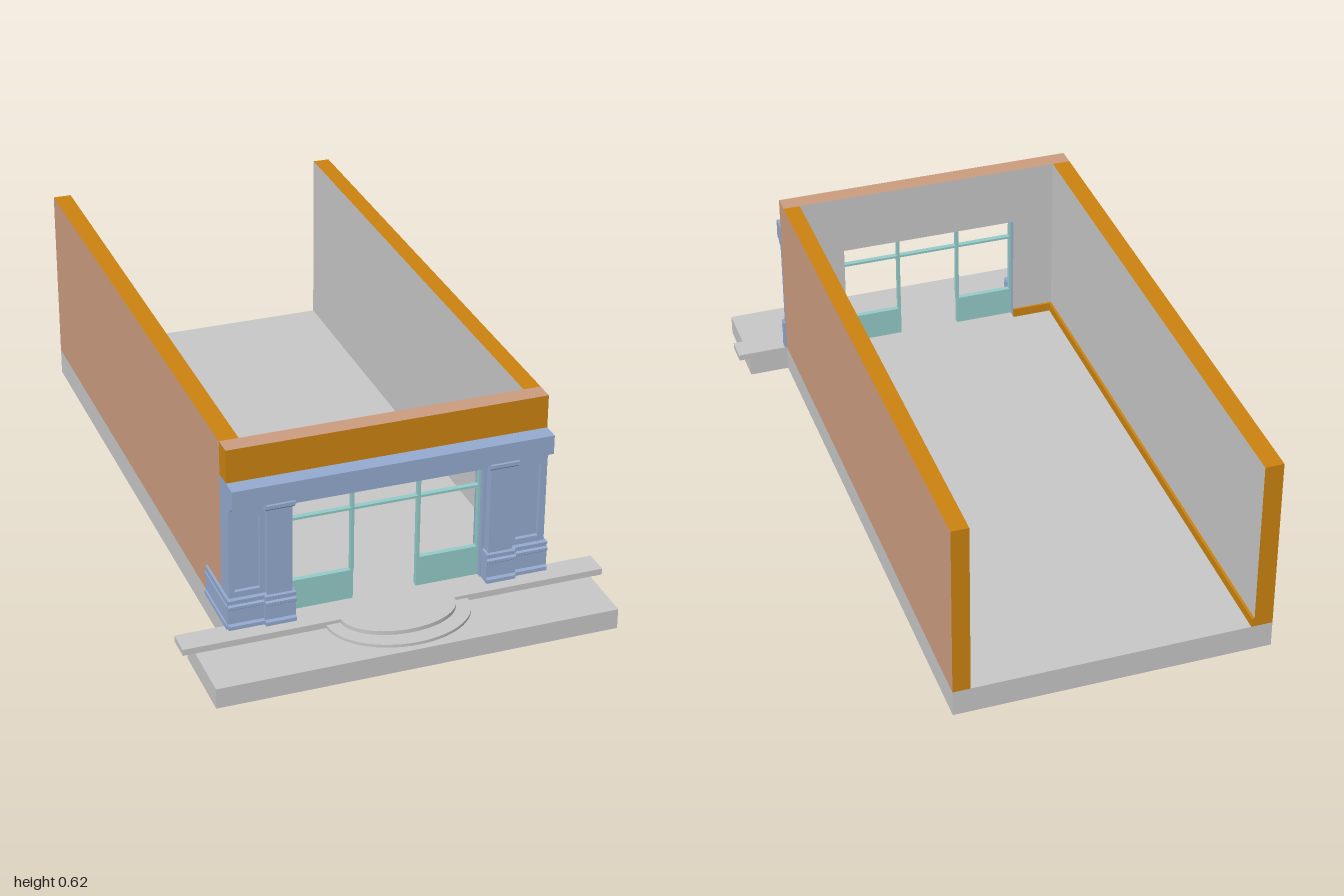
import * as THREE from 'three';

const mat = (name, color) => Object.assign(new THREE.MeshStandardMaterial({ color }), { name });

export function createModel() {
  const grey = mat('concrete', 0xc6c6c6);
  const pink = mat('brick', 0xcb9b7f);
  const orange = mat('ochre', 0xca820f);
  const blue = mat('bluePaint', 0x93a9ce);
  const teal = mat('tealFrame', 0x93cac8);
  const model = new THREE.Group();
  model.name = 'shopfront';

  const add = (name, geometry, material, parent = model) => {
    const mesh = new THREE.Mesh(geometry, material);
    mesh.name = name;
    parent.add(mesh);
    return mesh;
  };
  // Box given by its extents; material may be a list: +x, -x, +y, -y, +z, -z
  const box = (name, material, [x0, x1], [y0, y1], [z0, z1], parent) => {
    const g = new THREE.BoxGeometry(x1 - x0, y1 - y0, z1 - z0);
    g.translate((x0 + x1) / 2, (y0 + y1) / 2, (z0 + z1) / 2);
    return add(name, g, material, parent);
  };
  // Moulding with a (z, y) profile swept from x0 to x1
  const moulding = (name, profile, x0, x1, parent) => {
    const shape = new THREE.Shape(profile.map(([z, y]) => new THREE.Vector2(z, y)));
    const g = new THREE.ExtrudeGeometry(shape, { depth: x1 - x0, bevelEnabled: false });
    g.rotateY(-Math.PI / 2);
    g.translate(x1, 0, 0);
    return add(name, g, blue, parent);
  };

  const L = -0.465, R = 0.461, FLOOR = 0.08, TOP = 0.622;
  const BACK = 0.69, FACE = 0.745, BEAM = 0.523, HEAD = 0.435;
  const OPEN_L = -0.28, OPEN_R = 0.276;

  // Floor slab and pavement
  box('floorSlab', grey, [L, R], [0, FLOOR], [-1, FACE]);
  box('pavement', grey, [-0.582, 0.582], [0, 0.061], [FACE, 1]);
  box('pavementLedge', grey, [-0.617, 0.617], [0.061, FLOOR], [FACE, 0.82]);

  // Rounded entrance steps
  for (const [name, r, depth, y0, y1] of [
    ['lowerStep', 0.208, 0.16, 0.06, 0.07], ['upperStep', 0.167, 0.11, 0.07, 0.082]]) {
    const g = new THREE.CylinderGeometry(r, r, y1 - y0, 32, 1, false, -Math.PI / 2, Math.PI);
    g.scale(1, 1, depth / r);
    g.translate(0, (y0 + y1) / 2, 0.82);
    add(name, g, grey);
  }

  // Side walls
  box('wallLeft', [pink, grey, orange, grey, orange, orange], [0.41, R], [FLOOR, TOP], [-1, BACK]);
  box('wallRight', [grey, pink, orange, grey, orange, orange], [L, -0.41], [FLOOR, TOP], [-1, BACK]);

  // Front wall around the opening
  box('fascia', [pink, orange, pink, orange, orange, grey], [L, R], [BEAM, TOP], [BACK, FACE]);
  box('lintel', [pink, blue, blue, blue, blue, grey], [L, R], [HEAD, BEAM], [BACK, FACE]);
  box('jambRight', [blue, blue, blue, blue, blue, grey], [L, OPEN_L], [FLOOR, HEAD], [BACK, FACE]);
  box('jambLeft', [pink, blue, blue, blue, blue, grey], [OPEN_R, R], [FLOOR, HEAD], [BACK, FACE]);

  // Skirting boards inside
  box('skirtingSide', orange, [-0.41, -0.402], [FLOOR, 0.108], [-1, BACK]);
  box('skirtingFrontRight', orange, [-0.41, OPEN_L], [FLOOR, 0.108], [BACK - 0.007, BACK]);
  box('skirtingFrontLeft', orange, [OPEN_R, 0.41], [FLOOR, 0.108], [BACK - 0.007, BACK]);

  // Cornice beam across the front
  moulding('cornice', [[FACE, HEAD], [0.76, HEAD], [0.76, 0.448], [0.775, 0.454], [0.78, 0.462],
    [0.795, 0.466], [0.795, BEAM], [FACE, BEAM]], L, R);

  // Pilaster, panel and bases on each side of the opening
  const baseProfile = (f) => [[FACE, FLOOR], [f, FLOOR], [f, 0.091], [f - 0.006, 0.097], [f - 0.006, 0.14],
    [f - 0.001, 0.144], [f - 0.001, 0.152], [f - 0.007, 0.156], [f - 0.007, 0.163],
    [f - 0.003, 0.166], [f - 0.003, 0.171], [FACE, 0.171]];
  const capitalProfile = [[FACE, 0.436], [0.775, 0.436], [0.779, 0.441], [0.779, 0.446],
    [0.788, 0.451], [0.788, 0.457], [FACE, 0.457]];

  const side = (name, outer, panel, pilaster, baseOuter) => {
    const group = new THREE.Group();
    group.name = name;
    model.add(group);
    const [p0, p1] = pilaster;
    const mid = (p0 + p1) / 2;
    box('pilaster', blue, pilaster, [0.16, 0.44], [FACE, 0.772], group);
    moulding('capital', capitalProfile, p0 - 0.006, p1 + 0.006, group);
    moulding('pilasterBase', baseProfile(0.786), p0 - 0.008, p1 + 0.008, group);

    // Surround with a sunk panel
    const xs = [outer, mid].sort((a, b) => a - b);
    const rect = (Type, [x0, x1], [y0, y1]) => new Type([[x0, y0], [x1, y0], [x1, y1], [x0, y1]]
      .map(([x, y]) => new THREE.Vector2(x, y)));
    const shape = rect(THREE.Shape, xs, [0.16, 0.454]);
    shape.holes.push(rect(THREE.Path, panel, [0.189, 0.417]));
    const g = new THREE.ExtrudeGeometry(shape, { depth: 0.012, bevelEnabled: false });
    g.translate(0, 0, FACE);
    add('panelSurround', g, blue, group);

    const bs = [baseOuter, mid].sort((a, b) => a - b);
    moulding('panelBase', baseProfile(0.774), bs[0], bs[1], group);
  };
  side('rightColumn', L, [-0.449, -0.376], [-0.361, -0.289], -0.472);
  side('leftColumn', R, [0.373, 0.442], [0.287, 0.359], 0.467);

  // Base return along the right flank
  const flank = [[0.011, FLOOR, 0.093], [0.006, 0.093, 0.14], [0.01, 0.14, 0.153], [0.007, 0.153, 0.171]];
  for (const [d, y0, y1] of flank) box('baseReturn', blue, [L - d, L], [y0, y1], [0.57, 0.765]);

  // Window frames either side of the doorway
  const Z = [0.712, 0.728];
  const frame = new THREE.Group();
  frame.name = 'windowFrames';
  model.add(frame);
  box('stallRiserRight', teal, [OPEN_L, -0.097], [FLOOR, 0.171], Z, frame);
  box('stallRiserLeft', teal, [0.09, OPEN_R], [FLOOR, 0.171], Z, frame);
  for (const x of [OPEN_L, -0.104, 0.09, OPEN_R - 0.006]) {
    const w = Math.abs(x) < 0.2 ? 0.009 : 0.006;
    box('post', teal, [x, x + w], [0.165, HEAD], Z, frame);
  }
  box('transom', teal, [OPEN_L, OPEN_R], [0.362, 0.369], Z, frame);
  box('headRail', teal, [OPEN_L, OPEN_R], [0.429, HEAD], Z, frame);

  return model;
}
